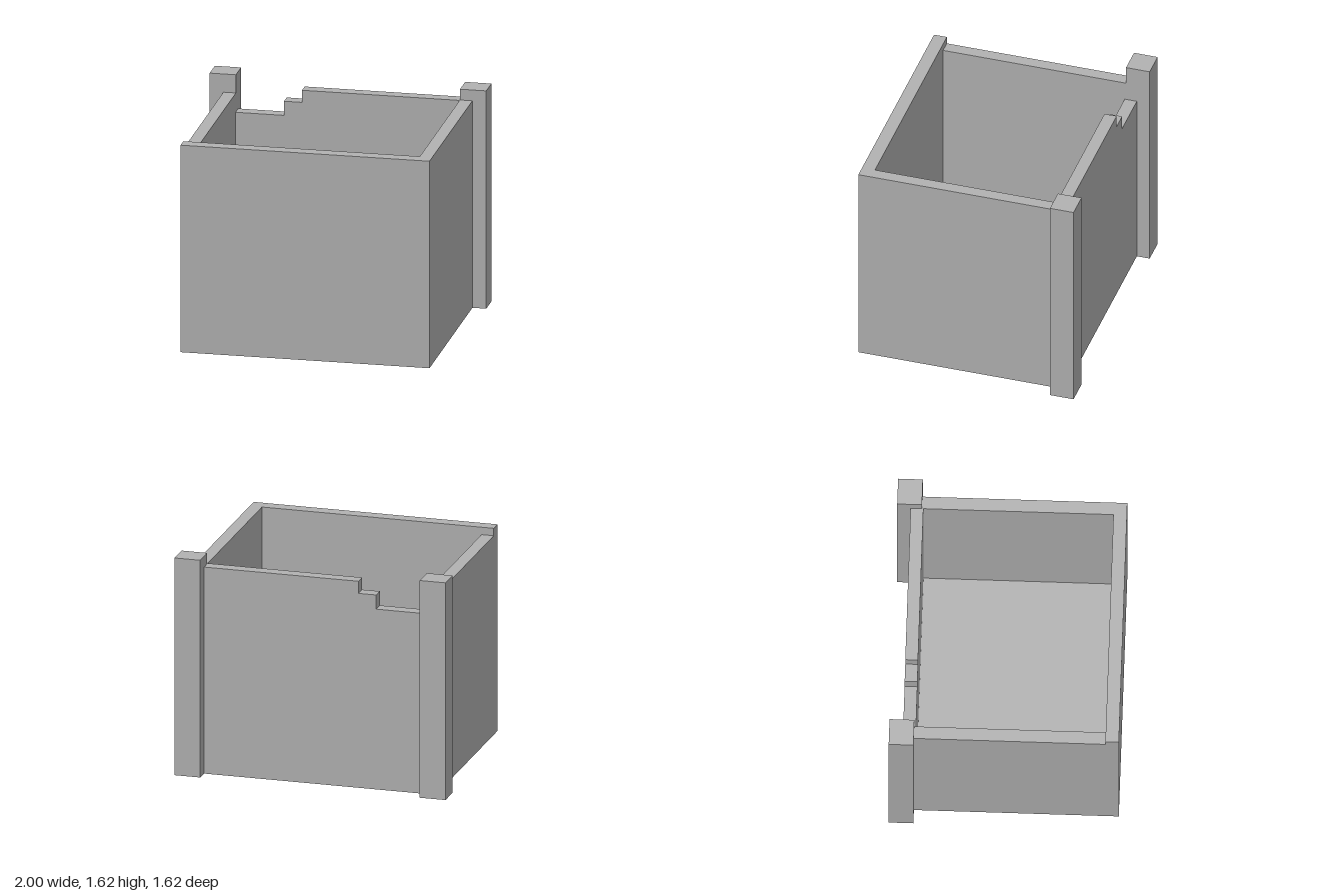
import * as THREE from 'three';

const grey = new THREE.MeshStandardMaterial({ color: 0xb2b2b2, side: THREE.DoubleSide });
grey.name = 'plain grey';

// Hollow block with no underside, given by its extents
function openBlock(name, [x0, x1], [y0, y1], [z0, z1]) {
  const geometry = new THREE.BoxGeometry(x1 - x0, y1 - y0, z1 - z0);
  const index = Array.from(geometry.index.array);
  index.splice(18, 6); // the downward face
  geometry.setIndex(index);
  geometry.clearGroups();
  const mesh = new THREE.Mesh(geometry, grey);
  mesh.name = name;
  mesh.position.set((x0 + x1) / 2, (y0 + y1) / 2, (z0 + z1) / 2);
  return mesh;
}

export function createModel() {
  const model = new THREE.Group();
  model.name = 'openBox';

  const top = 1.535, outer = 0.9, inner = 0.81;
  const backOuter = -0.72, backInner = -0.63, frontInner = 0.715, frontOuter = 0.81;

  // Front and side walls; the right one is slightly lower
  model.add(openBlock('frontWall', [-outer, outer], [0, top], [frontInner, frontOuter]));
  model.add(openBlock('leftWall', [inner, outer], [0, top], [backOuter, frontInner]));
  model.add(openBlock('rightWall', [-outer, -inner], [0, 1.48], [backOuter, frontInner]));

  // Back wall, stepping down towards the right post
  const back = new THREE.Group();
  back.name = 'backWall';
  const backZ = [backOuter, backInner];
  back.add(openBlock('backWallMain', [-0.33, inner], [0, top], backZ));
  back.add(openBlock('backWallLow', [-inner, -0.33], [0, 1.34], backZ));
  back.add(openBlock('backWallStep', [-0.46, -0.33], [1.34, 1.445], backZ));
  model.add(back);

  // Raised floor
  model.add(openBlock('floor', [-inner, inner], [0, 0.1], [backInner, frontInner]));

  // Corner posts at the back
  for (const [name, x] of [['leftPost', [inner, 1]], ['rightPost', [-1, -inner]]]) {
    model.add(openBlock(name, x, [0, 1.615], [-0.815, -0.64]));
  }
  return model;
}
